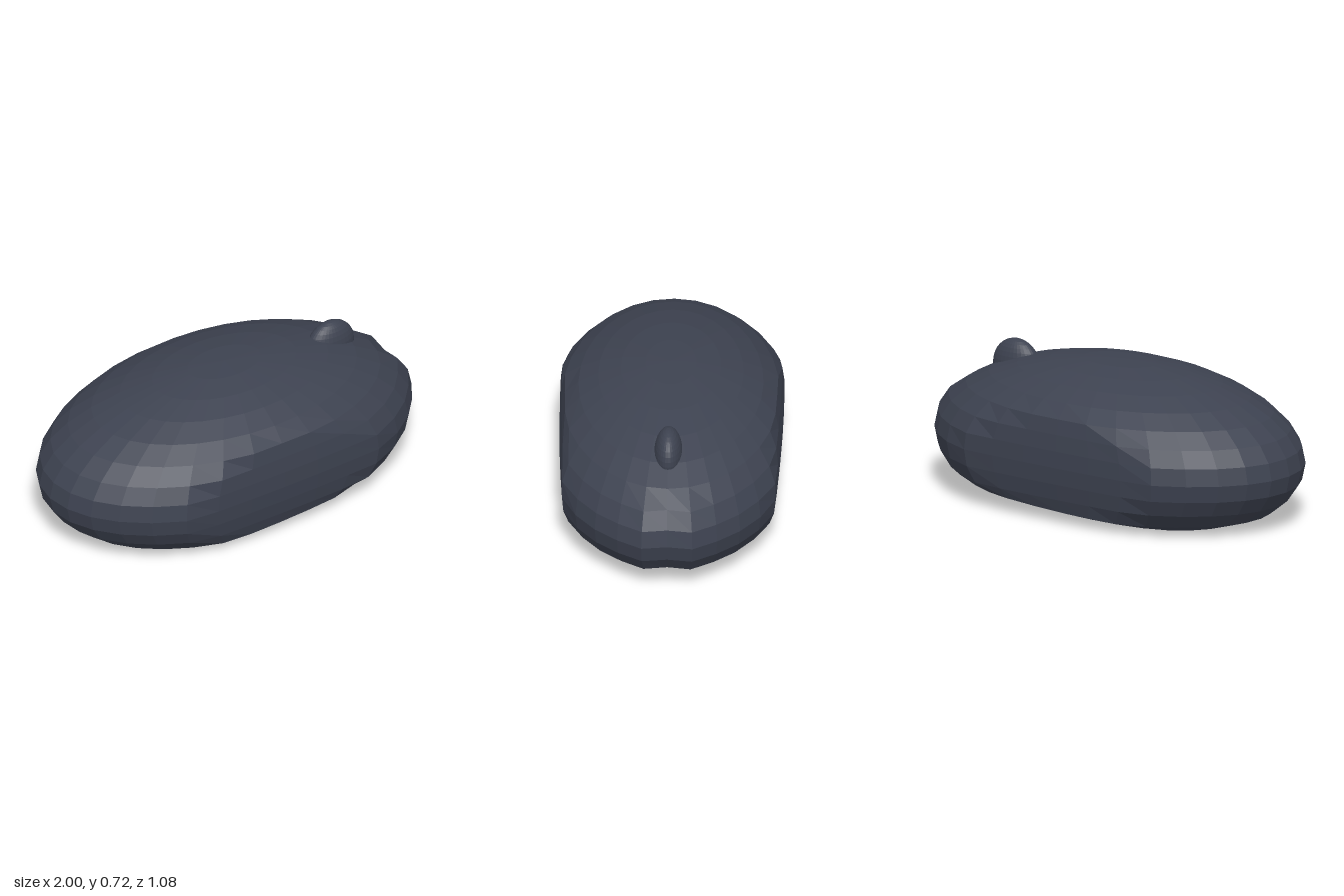
import * as THREE from 'three';

export function createModel() {
  const group = new THREE.Group();
  group.name = 'computerMouse';
  const shell = new THREE.MeshStandardMaterial({ color: 0x3d4250, flatShading: true });
  shell.name = 'dark slate plastic';

  // Body: faceted ellipsoid with pressed-in sides and a gently bowed underside
  const geo = new THREE.SphereGeometry(1, 32, 16);
  geo.scale(1, 0.43, 0.63);
  geo.translate(0, 0.29, 0);
  const p = geo.attributes.position;
  for (let i = 0; i < p.count; i++) {
    let x = p.getX(i), y = p.getY(i), z = p.getZ(i);
    // Side walls
    const side = 0.54 - 0.04 * (x + 0.25) ** 2 - 0.6 * (y - 0.32) ** 2;
    z = THREE.MathUtils.clamp(z, -side, side);
    // Underside, rising towards the nose and the side edges
    y = Math.max(y, 0.07 * (x + 0.3) ** 2 + 0.9 * z ** 4);
    // Shallow notch down the middle of the nose
    if (x > 0.9 && y < 0.5) x += Math.abs(z) < 0.01 ? -0.02 : Math.abs(z) < 0.15 ? 0.015 : 0;
    p.setXYZ(i, x, y, z);
  }
  geo.computeVertexNormals();
  const body = new THREE.Mesh(geo, shell);
  body.name = 'body';
  group.add(body);

  // Scroll wheel: narrow ellipsoid half sunk into the top
  const wheelGeo = new THREE.SphereGeometry(0.13, 32, 16);
  wheelGeo.scale(1, 1, 0.53);
  const wheel = new THREE.Mesh(wheelGeo, shell);
  wheel.name = 'scrollWheel';
  wheel.position.set(0.61, 0.59, 0);
  group.add(wheel);

  return group;
}
